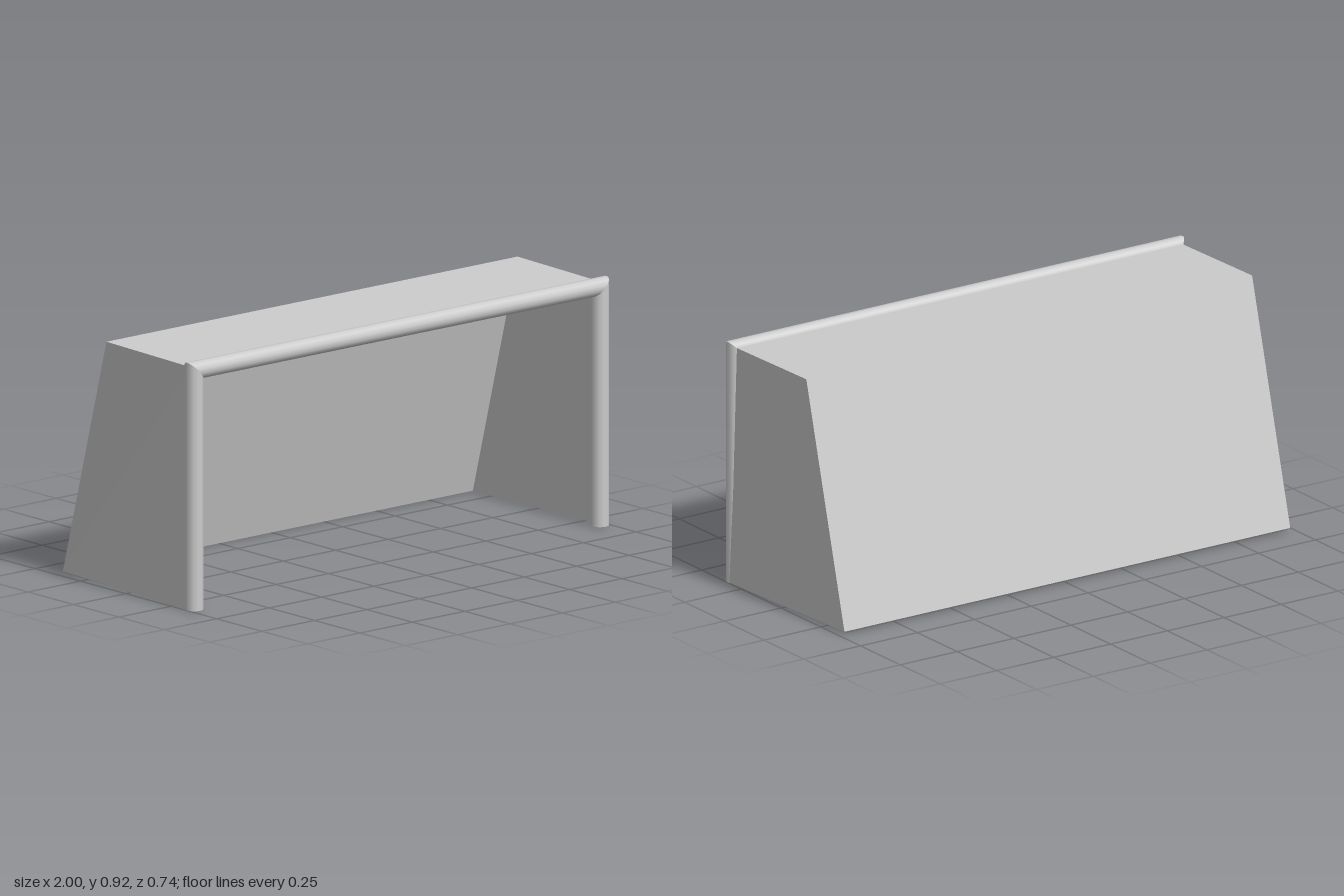
import * as THREE from 'three';

const RADIUS = 0.0336;          // frame tube
const POST_X = 0.9675, POST_Z = 0.3375, BAR_Y = 0.887;

// Net shell corners on the +x side: outer skin and inner skin
const OUTER = {
  frontBottom: [0.999, 0.001, 0.335], frontTop: [0.98, 0.9, 0.335],
  backTop: [0.98, 0.908, -0.13], backBottom: [0.98, 0.012, -0.37],
};
const INNER = {
  frontBottom: [0.978, 0, 0.335], frontTop: [0.961, 0.882, 0.335],
  backTop: [0.961, 0.889, -0.115], backBottom: [0.961, 0, -0.354],
};

// Tube along y whose ends are cut at 45 degrees by a rule on each end
function mitredTube(length, mitreTop, mitreBottom) {
  const geo = new THREE.CylinderGeometry(RADIUS, RADIUS, length, 12, 1, false, Math.PI / 12);
  const pos = geo.attributes.position;
  for (let i = 0; i < pos.count; i++) {
    const x = pos.getX(i), y = pos.getY(i);
    pos.setY(i, y + x * (y > 0 ? mitreTop : mitreBottom));
  }
  return geo;
}

function netGeometry() {
  const points = [];
  const mirror = ([x, y, z]) => [-x, y, z];
  const quad = (a, b, c, d) => points.push(...a, ...b, ...c, ...a, ...c, ...d);
  const sidePair = (a, b, c, d) => {
    quad(a, b, c, d);
    quad(...[d, c, b, a].map(mirror));
  };
  // Strip running across the width between two corner points
  const across = (a, b) => quad(a, mirror(a), mirror(b), b);
  const o = OUTER, n = INNER;

  // Side panels
  sidePair(o.frontBottom, o.backBottom, o.backTop, o.frontTop);
  sidePair(n.frontTop, n.backTop, n.backBottom, n.frontBottom);
  // Back panel
  across(o.backBottom, o.backTop);
  across(n.backTop, n.backBottom);
  // Roof panel
  across(o.backTop, o.frontTop);
  across(n.frontTop, n.backTop);
  // Rims joining both skins
  sidePair(o.frontBottom, n.frontBottom, n.backBottom, o.backBottom);
  sidePair(o.frontBottom, o.frontTop, n.frontTop, n.frontBottom);
  across(n.backBottom, o.backBottom);
  across(o.frontTop, n.frontTop);

  const geo = new THREE.BufferGeometry();
  geo.setAttribute('position', new THREE.Float32BufferAttribute(points, 3));
  geo.computeVertexNormals();
  return geo;
}

export function createModel() {
  const model = new THREE.Group();
  model.name = 'goal';
  const material = new THREE.MeshStandardMaterial({ color: 0xcccccc });
  const add = (name, geo, x = 0, y = 0, z = 0) => {
    const mesh = new THREE.Mesh(geo, material);
    mesh.name = name;
    mesh.position.set(x, y, z);
    model.add(mesh);
    return mesh;
  };

  // Goal frame: two posts and a crossbar with mitred corners
  for (const side of [1, -1]) {
    add(side > 0 ? 'leftPost' : 'rightPost', mitredTube(BAR_Y, side, 0), side * POST_X, BAR_Y / 2, POST_Z);
  }
  const bar = add('crossbar', mitredTube(POST_X * 2, 1, -1), 0, BAR_Y, POST_Z);
  bar.rotation.z = Math.PI / 2;
  // Turned so that local +x points up and the upper edge is the longer one

  // Net: side, back and roof panels
  add('net', netGeometry());
  return model;
}
